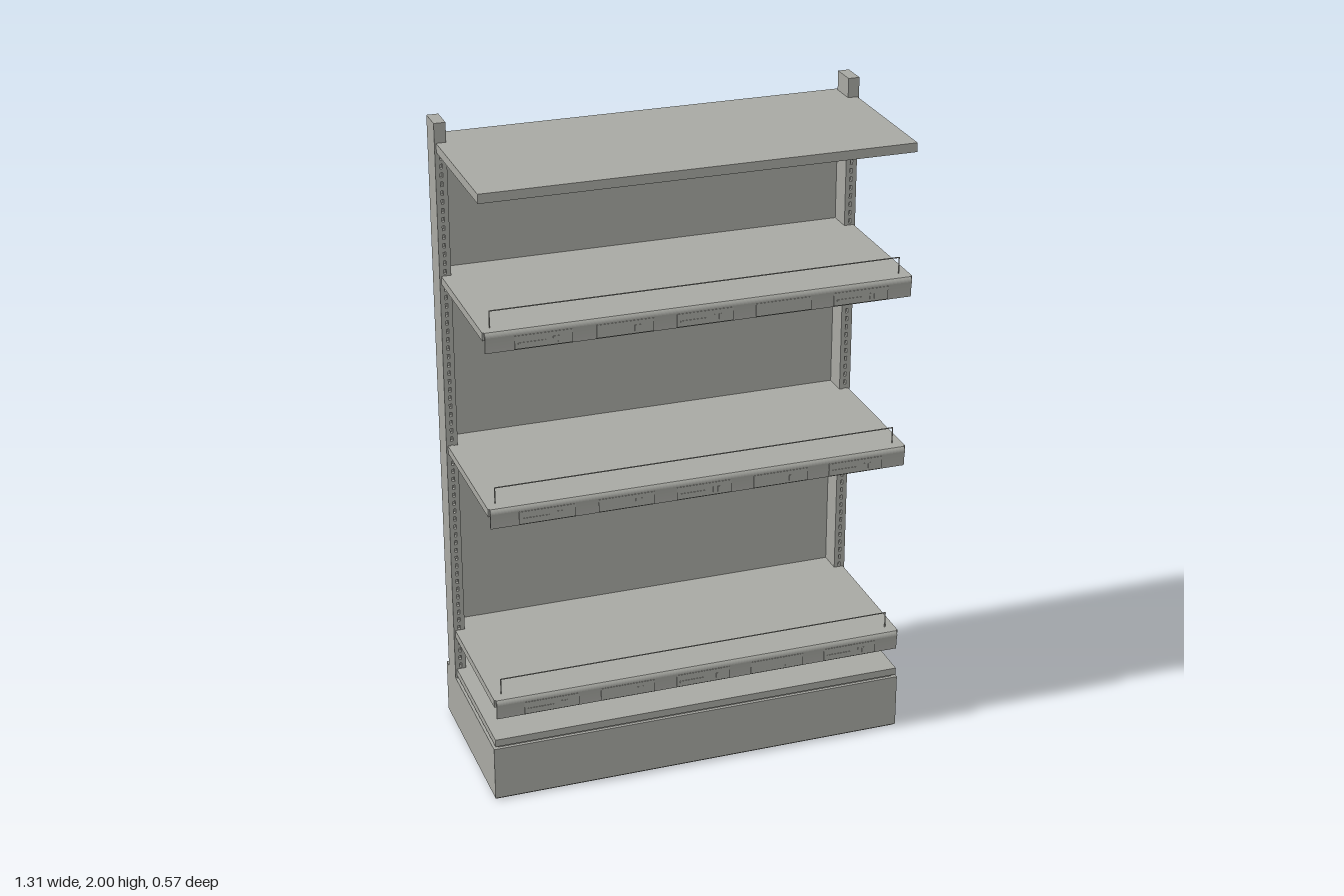
import * as THREE from 'three';
import { mergeGeometries } from 'three/addons/utils/BufferGeometryUtils.js';

export function createModel() {
  const model = new THREE.Group();
  model.name = 'gondolaShelf';
  const grey = new THREE.MeshStandardMaterial({ color: 0xa8a9a3 });
  grey.name = 'warm grey metal';

  const add = (name, geometry, parent = model) => {
    const mesh = new THREE.Mesh(geometry, grey);
    mesh.name = name;
    parent.add(mesh);
    return mesh;
  };
  // Box geometry given by its limits on each axis
  const box = (x0, x1, y0, y1, z0, z1) =>
    new THREE.BoxGeometry(x1 - x0, y1 - y0, z1 - z0)
      .translate((x0 + x1) / 2, (y0 + y1) / 2, (z0 + z1) / 2);

  // Plinth with a thin recessed foot and a shadow gap under the bottom deck
  add('plinthFoot', box(-0.65, 0.65, 0, 0.006, -0.275, 0.265));
  add('plinth', box(-0.655, 0.655, 0.006, 0.178, -0.283, 0.272));
  add('deckSpacer', box(-0.64, 0.64, 0.178, 0.187, -0.255, 0.262));
  add('bottomDeck', box(-0.65, 0.65, 0.187, 0.21, -0.266, 0.272));

  // Back panel
  add('backPanel', box(-0.65, 0.65, 0.178, 1.93, -0.256, -0.245));

  // Uprights: solid post behind a slotted front plate
  const plate = new THREE.Shape();
  plate.moveTo(-0.0175, 0.178);
  plate.lineTo(0.0175, 0.178);
  plate.lineTo(0.0175, 2);
  plate.lineTo(-0.0175, 2);
  plate.closePath();
  for (let i = 0; i < 63; i++) {
    const y = 0.222 + i * 0.027, w = 0.004, h = 0.007;
    const slot = new THREE.Path();
    slot.moveTo(-w, y - h);
    slot.lineTo(-w, y + h);
    slot.lineTo(w, y + h);
    slot.lineTo(w, y - h);
    slot.closePath();
    plate.holes.push(slot);
  }
  const plateGeometry = new THREE.ExtrudeGeometry(plate, { depth: 0.012, bevelEnabled: false });
  for (const side of [-1, 1]) {
    const upright = new THREE.Group();
    upright.name = side > 0 ? 'leftUpright' : 'rightUpright';
    upright.position.x = side * 0.6375;
    add('post', box(-0.0175, 0.0175, 0.178, 2, -0.254, -0.184), upright);
    add('slottedPlate', plateGeometry, upright).position.z = -0.184;
    model.add(upright);
  }

  // Curved ticket strip, drawn as a (z, y) profile below the shelf top
  const lip = new THREE.Shape();
  lip.moveTo(0.268, 0);
  lip.lineTo(0.277, 0);
  lip.quadraticCurveTo(0.284, -0.006, 0.284, -0.014);
  lip.quadraticCurveTo(0.279, -0.034, 0.279, -0.062);
  lip.lineTo(0.274, -0.062);
  lip.quadraticCurveTo(0.274, -0.034, 0.278, -0.016);
  lip.lineTo(0.274, -0.006);
  lip.lineTo(0.268, -0.006);
  lip.closePath();
  const lipGeometry = new THREE.ExtrudeGeometry(lip, { depth: 1.29, bevelEnabled: false, curveSegments: 5 })
    .rotateY(-Math.PI / 2).translate(0.645, 0, 0);

  // Thin wire fence: one long rail bent down at both ends
  const bar = (length, vertical, x, y) => {
    const g = new THREE.CylinderGeometry(0.0018, 0.0018, length, 6);
    if (!vertical) g.rotateZ(Math.PI / 2);
    return g.translate(x, y, 0.242);
  };
  const fenceGeometry = mergeGeometries([
    bar(1.24, false, 0, 0.05),
    bar(0.052, true, -0.62, 0.025),
    bar(0.052, true, 0.62, 0.025),
  ]);

  // Small raised bars on a price ticket
  const ticketBars = (kind) => {
    const bars = [];
    if (kind === 'full') bars.push(box(-0.075, 0.005, -0.044, -0.039, 0.284, 0.286));
    if (kind !== 'single') bars.push(box(0.041, 0.048, -0.05, -0.032, 0.284, 0.286));
    bars.push(box(0.027, 0.033, -0.05, -0.032, 0.284, 0.286));
    return mergeGeometries(bars);
  };
  const kinds = ['full', 'pair', 'full', 'single', 'full'];

  // Three stocked shelves with ticket strip, tickets and fence
  ['lower', 'middle', 'upper'].forEach((level, n) => {
    const shelf = new THREE.Group();
    shelf.name = level + 'Shelf';
    shelf.position.y = [0.348, 0.983, 1.532][n];
    add('board', box(-0.65, 0.65, -0.025, 0, -0.266, 0.272), shelf);
    add('ticketStrip', lipGeometry, shelf);
    add('wireFence', fenceGeometry, shelf);
    kinds.forEach((kind, i) => {
      const x = (i - 2) * 0.24 + 0.005;
      add('ticket', box(-0.085, 0.085, -0.058, -0.018, 0.281, 0.2845), shelf).position.x = x;
      add('ticketBars', ticketBars(kind), shelf).position.x = x;
    });
    model.add(shelf);
  });

  // Plain canopy shelf at the top
  add('topShelf', box(-0.65, 0.65, 1.912, 1.94, -0.266, 0.272));

  return model;
}
